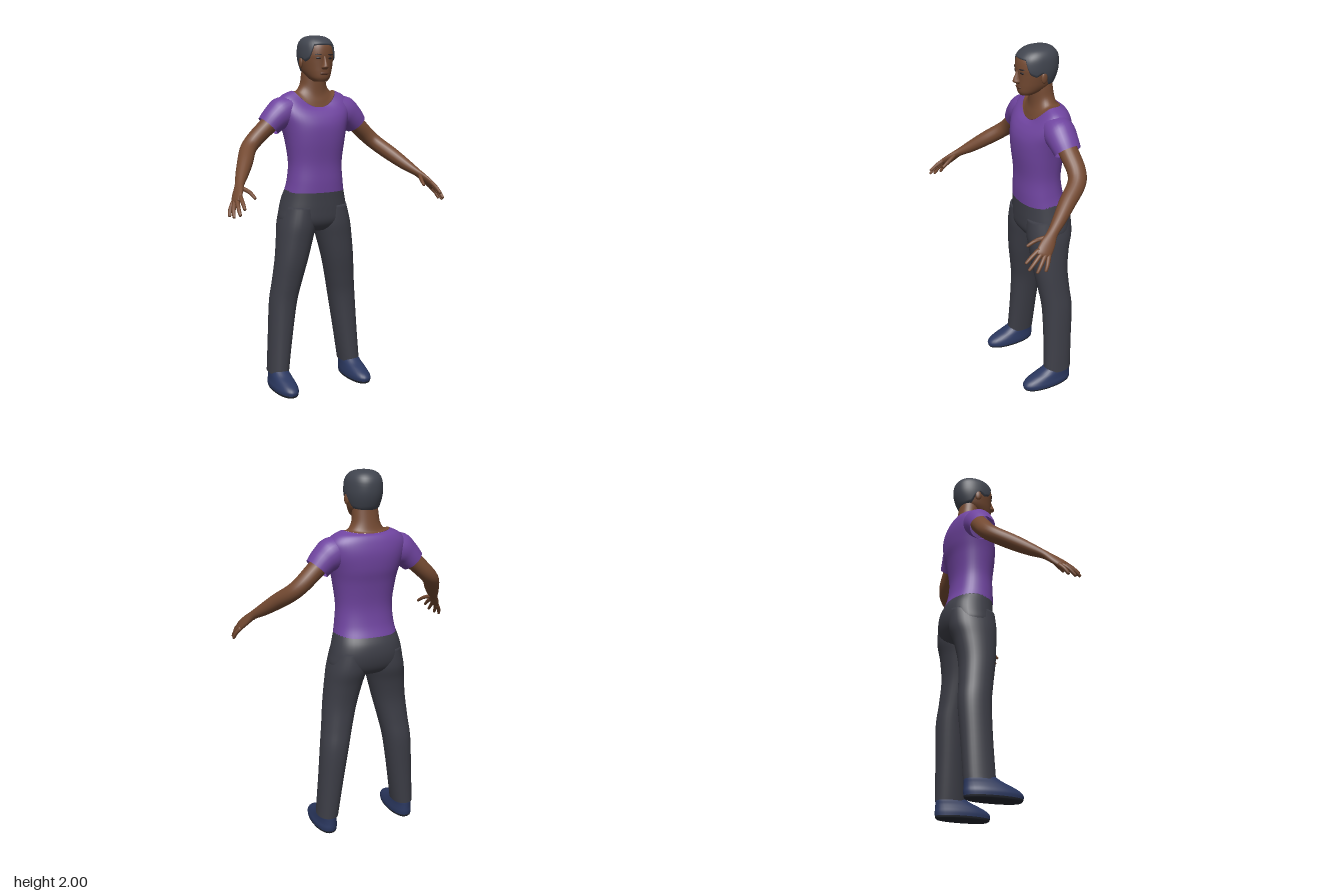
import * as THREE from 'three';

const mat = (name, color, side = THREE.FrontSide) => {
  const m = new THREE.MeshStandardMaterial({ color, side });
  m.name = name;
  return m;
};

// Smooth blend through rows of numbers at position v (Catmull-Rom on each column)
function rowAt(rows, v) {
  const n = rows.length - 1, i = Math.min(Math.floor(v), n - 1), t = v - i;
  const a = rows[Math.max(i - 1, 0)], b = rows[i], c = rows[i + 1], d = rows[Math.min(i + 2, n)];
  return b.map((_, k) => b[k] + 0.5 * t * (c[k] - a[k]
    + t * (2 * a[k] - 5 * b[k] + 4 * c[k] - d[k] + t * (3 * (b[k] - c[k]) + d[k] - a[k]))));
}
function refine(rows, steps) {
  const out = [];
  for (let i = 0; i <= (rows.length - 1) * steps; i++) out.push(rowAt(rows, i / steps));
  return out;
}

// Skin a list of closed rings, with optional end caps
function loft(rings, capStart = true, capEnd = true) {
  const n = rings[0].length, pos = [], idx = [];
  rings.forEach(r => r.forEach(p => pos.push(p.x, p.y, p.z)));
  for (let i = 0; i < rings.length - 1; i++) {
    for (let j = 0; j < n; j++) {
      const a = i * n + j, b = i * n + (j + 1) % n;
      idx.push(a, b, b + n, a, b + n, a + n);
    }
  }
  const cap = (ringIndex, flip) => {
    const c = new THREE.Vector3();
    rings[ringIndex].forEach(p => c.addScaledVector(p, 1 / n));
    const k = pos.length / 3;
    pos.push(c.x, c.y, c.z);
    for (let j = 0; j < n; j++) {
      const a = ringIndex * n + j, b = ringIndex * n + (j + 1) % n;
      idx.push(k, flip ? b : a, flip ? a : b);
    }
  };
  if (capStart) cap(0, true);
  if (capEnd) cap(rings.length - 1, false);
  const g = new THREE.BufferGeometry();
  g.setAttribute('position', new THREE.Float32BufferAttribute(pos, 3));
  g.setIndex(idx);
  g.computeVertexNormals();
  return g;
}

// Point on a level body section: [cx, ySide, yFront, yBack, rx, zFront, zBack]
function bodyPoint([cx, ys, yf, yb, rx, zf, zb], a, power = 2, grow = 0) {
  const c = Math.cos(a), s = Math.sin(a);
  const round = q => Math.sign(q) * Math.abs(q) ** (2 / power);
  return new THREE.Vector3(
    cx + (rx + grow) * round(c),
    ys + ((s < 0 ? yf : yb) - ys) * s * s,
    (zf + zb) / 2 - ((zf - zb) / 2 + grow) * round(s));
}
const angles = n => Array.from({ length: n }, (_, j) => j / n * Math.PI * 2);
const bodyLoft = (rows, power, capStart, capEnd, n = 40) =>
  loft(refine(rows, 5).map(r => angles(n).map(a => bodyPoint(r, a, power))), capStart, capEnd);
const level = (y, cx, rx, zf, zb) => [cx, y, y, y, rx, zf, zb];

// Limb along a path, rows are [x, y, z, thickness, width]
function limb(rows, n = 20, steps = 5, capEnds = true) {
  const r = refine(rows, steps), Z = new THREE.Vector3(0, 0, 1);
  const P = r.map(q => new THREE.Vector3(q[0], q[1], q[2]));
  return loft(r.map((q, i) => {
    const T = P[Math.min(i + 1, P.length - 1)].clone().sub(P[Math.max(i - 1, 0)]).normalize();
    const u = Z.clone().cross(T).normalize(), v = T.clone().cross(u);
    return angles(n).map(a => P[i].clone()
      .addScaledVector(u, Math.cos(a) * q[3]).addScaledVector(v, Math.sin(a) * q[4]));
  }), capEnds, capEnds);
}
function mirrorX(g) {
  const m = g.clone().scale(-1, 1, 1), ix = m.index.array;
  for (let i = 0; i < ix.length; i += 3) [ix[i], ix[i + 1]] = [ix[i + 1], ix[i]];
  m.computeVertexNormals();
  return m;
}

export function createModel() {
  const root = new THREE.Group();
  const skin = mat('skin', 0x744a32), lip = mat('lips', 0x5c3828), dark = mat('brows', 0x2a2325);
  const hairMat = mat('hair', 0x41454f, THREE.DoubleSide), purple = mat('shirt', 0x6f449f, THREE.DoubleSide);
  const trouser = mat('trousers', 0x3d3e47, THREE.DoubleSide), navy = mat('shoes', 0x2b3860), soleMat = mat('soles', 0x23262e);
  const add = (name, g, m) => {
    const mesh = new THREE.Mesh(g, m);
    mesh.name = name;
    root.add(mesh);
  };
  const pair = (name, g, m) => {
    add('left' + name, g, m);
    add('right' + name, mirrorX(g), m);
  };
  const blob = (x, y, z, sx, sy, sz, yaw = 0) =>
    new THREE.SphereGeometry(1, 20, 14).scale(sx, sy, sz).rotateY(yaw).translate(x, y, z);

  // Shirt body, ending in the scooped neckline
  const neckline = [0, 1.70, 1.61, 1.685, 0.13, -0.055, -0.215];
  add('shirt', bodyLoft([
    level(1.14, 0, 0.174, 0.003, -0.256),
    level(1.20, 0, 0.163, 0.004, -0.236),
    level(1.30, 0, 0.156, 0.002, -0.225),
    level(1.42, 0, 0.172, 0.014, -0.24),
    level(1.50, 0, 0.19, 0.014, -0.258),
    [0, 1.57, 1.55, 1.58, 0.212, 0, -0.263],
    [0, 1.63, 1.585, 1.64, 0.218, -0.022, -0.252],
    [0, 1.675, 1.60, 1.675, 0.185, -0.038, -0.235],
    neckline], 2.3, false, false, 48), purple);
  pair('Sleeve', limb([
    [0.11, 1.625, -0.135, 0.055, 0.07], [0.185, 1.585, -0.135, 0.086, 0.084],
    [0.235, 1.55, -0.135, 0.076, 0.079], [0.275, 1.51, -0.138, 0.066, 0.072]], 28, 5, false), purple);

  // Upper chest and neck
  add('neck', bodyLoft([
    neckline,
    [0, 1.70, 1.64, 1.695, 0.1, -0.062, -0.205],
    [0, 1.735, 1.69, 1.73, 0.076, -0.072, -0.196],
    level(1.79, 0, 0.069, -0.07, -0.187),
    level(1.86, 0, 0.06, -0.07, -0.18)], 2.2, false, true), skin);

  // Head and close-cropped hair sharing one set of sections
  const head = [
    level(1.752, 0, 0.036, -0.008, -0.08), level(1.77, 0, 0.056, 0.002, -0.13),
    level(1.80, 0, 0.073, 0.005, -0.18), level(1.83, 0, 0.082, 0.006, -0.198),
    level(1.865, 0, 0.089, 0.008, -0.21), level(1.90, 0, 0.091, 0.011, -0.215),
    level(1.945, 0, 0.086, 0.003, -0.212), level(1.975, 0, 0.069, -0.025, -0.192),
    level(1.99, 0, 0.042, -0.06, -0.165), level(1.995, 0, 0.008, -0.105, -0.125)];
  add('head', bodyLoft(head, 2.15, true, true, 48), skin);
  const hairline = [[-1, 6], [-0.82, 5.9], [-0.62, 4.1], [-0.35, 3.7], [-0.1, 4.2], [0.15, 3.4], [0.4, 2.2], [1, 1.6]];
  const hairStart = s => {
    const k = Math.max(1, hairline.findIndex(h => h[0] >= s - 1e-6));
    const [a, b] = [hairline[k - 1], hairline[k]];
    return THREE.MathUtils.mapLinear(s, a[0], b[0], a[1], b[1]);
  };
  const hairRings = [];
  for (let i = 0; i <= 20; i++) {
    hairRings.push(angles(72).map(a => {
      const v = THREE.MathUtils.lerp(hairStart(Math.sin(a)), 9, i / 20);
      const p = bodyPoint(rowAt(head, v), a, 2.15, i === 0 ? -0.002 : 0.006);
      p.y += i / 20 * 0.005;
      return p;
    }));
  }
  add('hair', loft(hairRings, false, true), hairMat);

  // Face
  add('nose', bodyLoft([
    level(1.815, 0, 0.013, 0.014, -0.02), level(1.826, 0, 0.02, 0.032, -0.02),
    level(1.84, 0, 0.015, 0.031, -0.02), level(1.865, 0, 0.01, 0.02, -0.02),
    level(1.89, 0, 0.008, 0.01, -0.02)], 2, true, true, 20), skin);
  add('lips', blob(0, 1.794, 0.002, 0.026, 0.009, 0.007), lip);
  pair('Ear', blob(0.091, 1.852, -0.1, 0.01, 0.03, 0.019, 0.2), skin);
  pair('Eye', blob(0.035, 1.876, 0.001, 0.014, 0.006, 0.004, 0.3), dark);
  pair('Brow', blob(0.037, 1.895, 0.002, 0.02, 0.004, 0.004, 0.32), dark);

  // Arms running into the palms
  pair('Arm', limb([
    [0.20, 1.58, -0.135, 0.05, 0.05], [0.29, 1.50, -0.14, 0.048, 0.052],
    [0.36, 1.435, -0.14, 0.045, 0.05], [0.408, 1.388, -0.112, 0.043, 0.047],
    [0.46, 1.33, -0.03, 0.041, 0.043], [0.51, 1.275, 0.045, 0.033, 0.035],
    [0.548, 1.235, 0.105, 0.022, 0.028], [0.575, 1.20, 0.145, 0.018, 0.038],
    [0.597, 1.168, 0.18, 0.015, 0.04], [0.605, 1.155, 0.192, 0.008, 0.03]]), skin);

  // Fingers: knuckle, middle joint, tip
  const fingers = {
    Thumb: [[0.553, 1.222, 0.13], [0.527, 1.205, 0.18], [0.515, 1.178, 0.225]],
    IndexFinger: [[0.583, 1.186, 0.198], [0.588, 1.162, 0.24], [0.592, 1.135, 0.276]],
    MiddleFinger: [[0.594, 1.173, 0.185], [0.609, 1.14, 0.233], [0.614, 1.106, 0.27]],
    RingFinger: [[0.602, 1.163, 0.172], [0.624, 1.128, 0.208], [0.633, 1.092, 0.235]],
    LittleFinger: [[0.606, 1.155, 0.157], [0.63, 1.122, 0.177], [0.64, 1.092, 0.193]],
  };
  for (const [name, [a, b, c]] of Object.entries(fingers)) {
    const end = c.map((q, k) => q + (c[k] - b[k]) * 0.08);
    pair(name, limb([[...a, 0.012, 0.012], [...b, 0.0105, 0.0105], [...c, 0.008, 0.008],
      [...end, 0.003, 0.003]], 10, 3), skin);
  }

  // Trousers
  add('trouserSeat', bodyLoft([
    level(0.915, 0, 0.09, -0.06, -0.19), level(0.94, 0, 0.17, -0.025, -0.24),
    level(0.98, 0, 0.208, -0.004, -0.268), level(1.04, 0, 0.2, 0, -0.281),
    level(1.10, 0, 0.186, 0, -0.274), level(1.15, 0, 0.172, 0, -0.25)], 2.3, true, true), trouser);
  pair('TrouserLeg', bodyLoft([
    level(0.095, 0.234, 0.058, -0.052, -0.216), level(0.3, 0.213, 0.067, -0.06, -0.225),
    level(0.5, 0.191, 0.077, -0.06, -0.235), level(0.62, 0.171, 0.083, -0.045, -0.226),
    level(0.75, 0.148, 0.092, -0.024, -0.221), level(0.87, 0.126, 0.101, -0.012, -0.238),
    level(0.96, 0.109, 0.106, -0.004, -0.262), level(1.06, 0.095, 0.095, -0.008, -0.262)],
  2.2, false, true, 32), trouser);

  // Shoes with darker soles
  pair('Shoe', bodyLoft([
    level(0.016, 0.236, 0.063, 0.09, -0.214), level(0.035, 0.236, 0.064, 0.091, -0.216),
    level(0.055, 0.235, 0.06, 0.072, -0.215), level(0.075, 0.235, 0.056, 0.03, -0.214),
    level(0.095, 0.235, 0.053, -0.02, -0.213), level(0.12, 0.235, 0.048, -0.062, -0.208)],
  2.2, false, true, 32), navy);
  pair('Sole', bodyLoft([
    level(0, 0.236, 0.054, 0.076, -0.204), level(0.006, 0.236, 0.06, 0.086, -0.211),
    level(0.016, 0.236, 0.063, 0.09, -0.214)], 2.2, true, false, 32), soleMat);

  return root;
}
